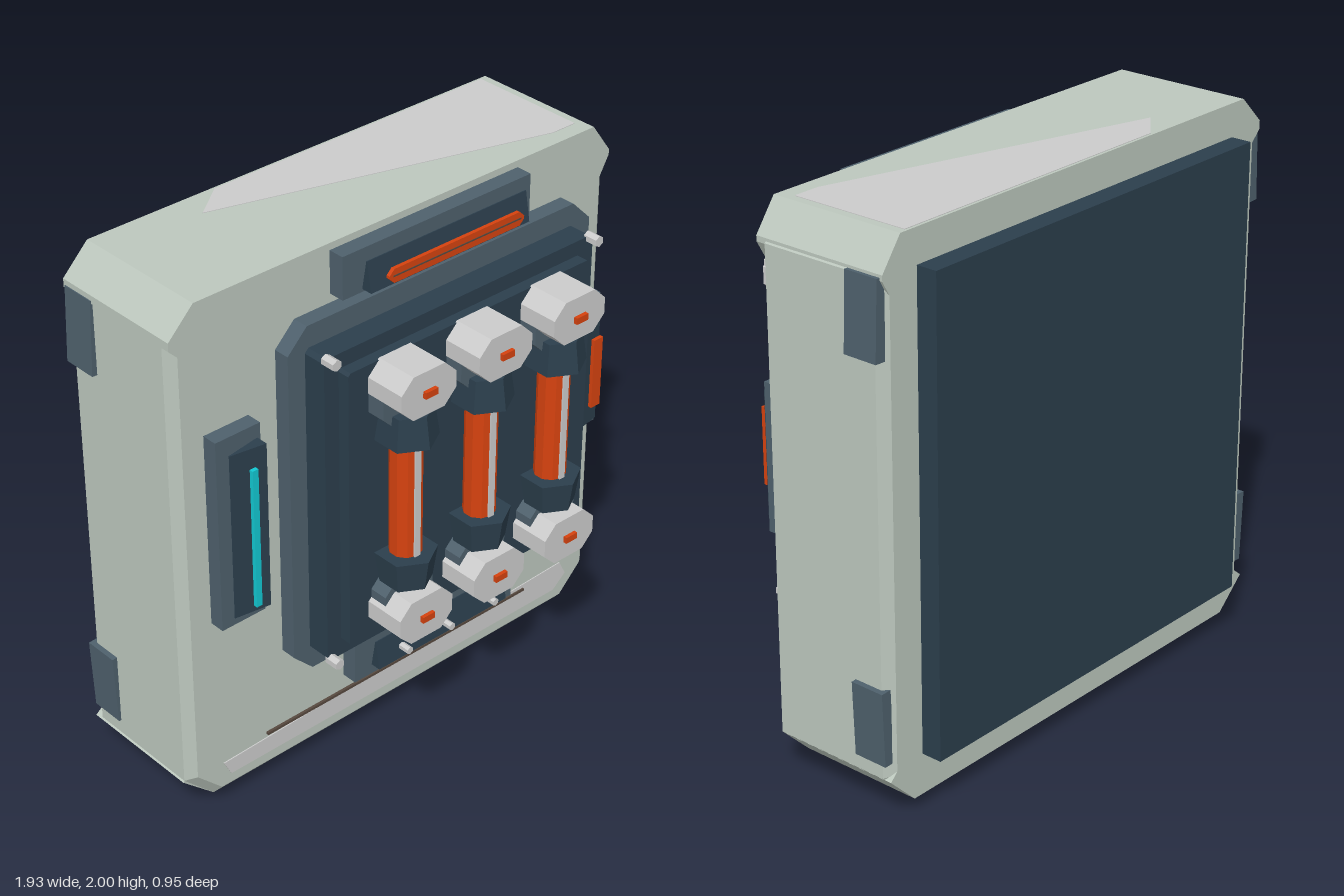
import * as THREE from 'three';

const paint = (color) => new THREE.MeshStandardMaterial({ color, flatShading: true });

export function createModel() {
  const model = new THREE.Group();
  const shell = paint(0xbcc7bd), slate = paint(0x4e606c), navy = paint(0x2b3e4c);
  const orange = paint(0xd5420f), cyan = paint(0x12c8d2), brown = paint(0x57493f), grey = paint(0xcccccc);

  const add = (name, geometry, material, parent = model) => {
    const mesh = new THREE.Mesh(geometry, material);
    mesh.name = name;
    parent.add(mesh);
    return mesh;
  };

  // Polygon in x/y pulled from z0 to z1
  const prism = (name, points, z0, z1, material, parent) => {
    const shape = new THREE.Shape(points.map(([x, y]) => new THREE.Vector2(x, y)));
    const geometry = new THREE.ExtrudeGeometry(shape, { depth: z1 - z0, bevelEnabled: false });
    return add(name, geometry.translate(0, 0, z0), material, parent);
  };

  // Rectangle with cut corners, by its limits
  const octagon = (x0, x1, y0, y1, c) => [
    [x0 + c, y0], [x1 - c, y0], [x1, y0 + c], [x1, y1 - c],
    [x1 - c, y1], [x0 + c, y1], [x0, y1 - c], [x0, y0 + c]];
  const plate = (name, x0, x1, y0, y1, z0, z1, c, material, parent) =>
    prism(name, octagon(x0, x1, y0, y1, c), z0, z1, material, parent);

  const box = (name, x0, x1, y0, y1, z0, z1, material, parent) => {
    const geometry = new THREE.BoxGeometry(x1 - x0, y1 - y0, z1 - z0);
    return add(name, geometry.translate((x0 + x1) / 2, (y0 + y1) / 2, (z0 + z1) / 2), material, parent);
  };

  // Floating panel whose thickness tapers to nothing along one axis
  const wedge = (name, x0, x1, y0, y1, z0, z1, axis, direction, material, parent) => {
    const geometry = new THREE.BoxGeometry(x1 - x0, y1 - y0, z1 - z0);
    const p = geometry.attributes.position;
    for (let i = 0; i < p.count; i++) {
      const along = axis === 'x' ? p.getX(i) : p.getY(i);
      if (along * direction > 0) p.setZ(i, p.getZ(i) * 0.08);
    }
    geometry.translate((x0 + x1) / 2, (y0 + y1) / 2, (z0 + z1) / 2);
    return add(name, geometry, material, parent);
  };

  const screw = (x, y, z0, z1, r, parent) => {
    const mesh = add('screw', new THREE.CylinderGeometry(r, r, z1 - z0, 6).rotateX(Math.PI / 2), grey, parent);
    mesh.position.set(x, y, (z0 + z1) / 2);
  };

  // Housing with bevelled front and back rims
  const outline = new THREE.Shape(octagon(-0.91, 0.91, 0.08, 1.96, 0.1).map(([x, y]) => new THREE.Vector2(x, y)));
  const housing = new THREE.ExtrudeGeometry(outline, {
    depth: 0.45, bevelThickness: 0.03, bevelSize: 0.035, bevelSegments: 1 });
  add('housing', housing.translate(0, 0, -0.37), shell);
  prism('topCap', [[-0.88, 1.8], [0.9, 1.8], [0.94, 1.87], [0.94, 1.89], [0.86, 2], [-0.85, 2], [-0.95, 1.9], [-0.95, 1.87]],
    -0.4, 0.12, shell);
  prism('bottomCap', [[-0.83, 0.05], [0.83, 0.05], [0.94, 0.16], [0.9, 0.2], [-0.9, 0.2], [-0.95, 0.16]],
    -0.4, 0.08, shell);
  box('backPlate', -0.79, 0.79, 0.2, 1.88, -0.477, -0.39, navy);

  // Worn grey panels on the top and the lower front
  const topPanel = prism('topPanel', [[-0.48, 0.29], [0.73, -0.06], [0.83, -0.06], [0.83, 0.39], [-0.35, 0.39]], 0, 0.003, grey);
  topPanel.rotation.x = -Math.PI / 2;
  topPanel.position.y = 1.999;
  prism('lowerPanel', [[-0.77, 0.12], [0.77, 0.12], [0.83, 0.17], [0.8, 0.23], [-0.8, 0.18]], 0.1, 0.114, grey);
  box('lowerSeam', -0.61, 0.61, 0.2, 0.21, 0.1, 0.12, brown);

  // Corner guards on both sides
  for (const side of [-1, 1]) {
    for (const [y0, y1, lean] of [[1.61, 1.88, -1], [0.22, 0.49, 1]]) {
      const guard = box('cornerGuard', -0.02, 0.02, -(y1 - y0) / 2, (y1 - y0) / 2, -0.065, 0.065, slate);
      guard.position.set(side * 0.939, (y0 + y1) / 2, -0.325);
      guard.rotation.z = side * lean * -0.04;
    }
  }

  // Feet
  for (const x of [-0.64, -0.21, 0.2, 0.67]) {
    const foot = new THREE.Group();
    foot.name = 'foot';
    foot.position.set(x, 0, -0.145);
    model.add(foot);
    add('footFlange', new THREE.CylinderGeometry(0.09, 0.085, 0.03, 6), navy, foot).position.y = 0.04;
    add('footPad', new THREE.CylinderGeometry(0.06, 0.055, 0.03, 8), slate, foot).position.y = 0.015;
  }

  // Stepped control panel
  plate('panelFrame', -0.53, 0.805, 0.44, 1.78, 0.1, 0.17, 0.08, slate);
  plate('panelStep', -0.46, 0.73, 0.52, 1.7, 0.17, 0.26, 0.015, navy);
  plate('panelFace', -0.4, 0.67, 0.58, 1.645, 0.26, 0.305, 0.01, navy);
  for (const x of [-0.445, 0.715]) for (const y of [0.525, 1.695]) screw(x, y, 0.25, 0.305, 0.02);

  // Three glowing tubes held between terminals
  for (const x of [-0.2, 0.135, 0.47]) {
    const cell = new THREE.Group();
    cell.name = 'powerCell';
    cell.position.x = x;
    model.add(cell);
    add('tube', new THREE.CylinderGeometry(0.057, 0.057, 0.54, 10), orange, cell).position.set(0, 1.13, 0.355);
    box('tubeStrip', -0.012, 0.012, 0.9, 1.37, 0.39, 0.415, grey, cell);
    const collar = (y, top, bottom) => {
      const geometry = new THREE.CylinderGeometry(top, bottom, 0.115, 6);
      add('collar', geometry, navy, cell).position.set(0, y, 0.36);
    };
    collar(1.413, 0.09, 0.107);
    collar(0.855, 0.107, 0.09);
    // Terminal blocks and caps
    plate('upperBlock', -0.115, 0.115, 1.43, 1.6, 0.3, 0.375, 0.04, slate, cell);
    plate('lowerBlock', -0.105, 0.105, 0.65, 0.81, 0.3, 0.375, 0.04, slate, cell);
    for (const [y0, y1] of [[1.49, 1.65], [0.61, 0.775]]) {
      plate('terminalCap', -0.117, 0.117, y0, y1, 0.3, 0.46, 0.05, grey, cell);
      const y = (y0 + y1) / 2;
      box('terminalLight', -0.026, 0.026, y - 0.012, y + 0.012, 0.45, 0.474, orange, cell);
    }
  }

  // Top indicator
  box('topMount', -0.31, 0.505, 1.82, 1.975, 0.1, 0.18, slate);
  wedge('topBezel', -0.245, 0.445, 1.845, 1.952, 0.198, 0.24, 'y', 1, navy);
  plate('topLight', -0.195, 0.39, 1.87, 1.92, 0.256, 0.27, 0.02, orange);
  box('topLightLine', -0.18, 0.375, 1.893, 1.898, 0.268, 0.272, brown);

  // Bottom indicator with three screws
  box('bottomMount', -0.26, 0.49, 0.27, 0.445, 0.1, 0.17, slate);
  wedge('bottomBezel', -0.192, 0.415, 0.32, 0.428, 0.18, 0.22, 'y', 1, navy);
  for (const x of [-0.09, 0.11, 0.32]) screw(x, 0.375, 0.222, 0.265, 0.014);

  // Side indicators
  box('rightMount', -0.825, -0.645, 0.785, 1.51, 0.1, 0.167, slate);
  wedge('rightBezel', -0.8, -0.668, 0.845, 1.47, 0.18, 0.225, 'x', -1, navy);
  box('rightLight', -0.745, -0.722, 0.885, 1.41, 0.233, 0.248, cyan);
  box('leftMount', 0.765, 0.885, 0.85, 1.375, 0.1, 0.167, slate);
  wedge('leftBezel', 0.76, 0.858, 0.885, 1.33, 0.175, 0.215, 'x', 1, navy);
  box('leftLight', 0.788, 0.83, 0.975, 1.25, 0.226, 0.24, orange);

  return model;
}
